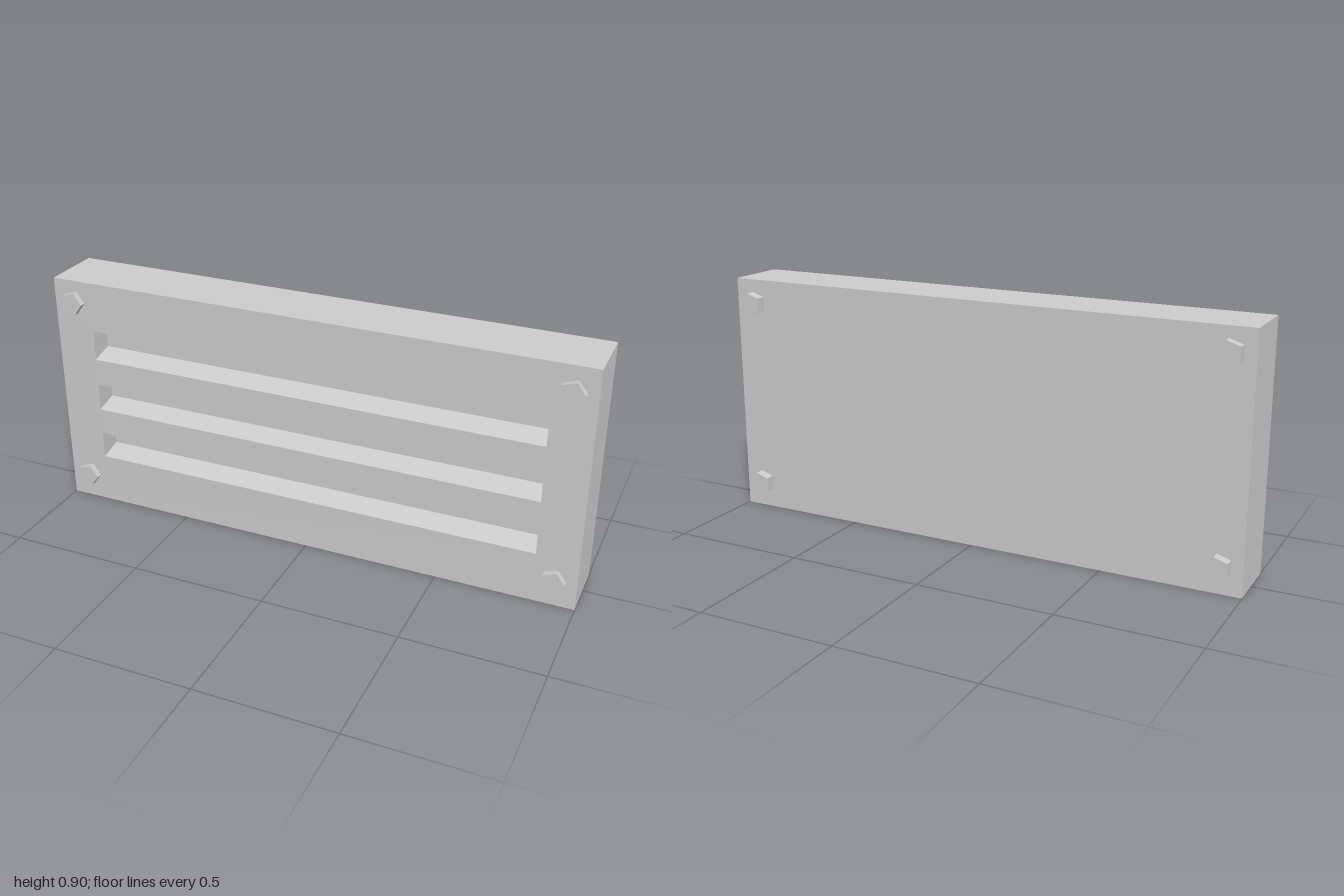
import * as THREE from 'three';

const W = 1, H = 0.9, FRONT = 0.122, BACK = -0.108;
const SLOT_X = 0.85, SLOT_Z = FRONT - 0.085;

// Flat-sided surface from four-cornered faces, corners anticlockwise from outside
function quads(list) {
  const pos = [];
  for (const [a, b, c, d] of list) pos.push(...a, ...b, ...c, ...a, ...c, ...d);
  const g = new THREE.BufferGeometry();
  g.setAttribute('position', new THREE.Float32BufferAttribute(pos, 3));
  g.computeVertexNormals();
  return g;
}

export function createModel() {
  const group = new THREE.Group();
  const grey = new THREE.MeshStandardMaterial({ color: 0xcccccc, flatShading: true });
  grey.name = 'light grey';
  const add = (name, geometry) => {
    const mesh = new THREE.Mesh(geometry, grey);
    mesh.name = name;
    group.add(mesh);
    return mesh;
  };

  // Slots: outer bottom and top, inner bottom and top
  const slots = [
    [0.599, 0.713, 0.62, 0.691],
    [0.392, 0.497, 0.413, 0.476],
    [0.189, 0.291, 0.21, 0.269],
  ];

  // Front face with three slot openings
  const face = new THREE.Shape();
  face.moveTo(-W, 0).lineTo(W, 0).lineTo(W, H).lineTo(-W, H).closePath();
  for (const [b, t] of slots) {
    const hole = new THREE.Path();
    hole.moveTo(-SLOT_X, b).lineTo(-SLOT_X, t).lineTo(SLOT_X, t).lineTo(SLOT_X, b).closePath();
    face.holes.push(hole);
  }
  add('frontFace', new THREE.ShapeGeometry(face).translate(0, 0, FRONT));

  // Sides, top, bottom and back of the panel
  const p = (x, y, z) => [x, y, z];
  add('panelBody', quads([
    [p(W, 0, BACK), p(-W, 0, BACK), p(-W, H, BACK), p(W, H, BACK)],
    [p(W, 0, FRONT), p(W, 0, BACK), p(W, H, BACK), p(W, H, FRONT)],
    [p(-W, 0, BACK), p(-W, 0, FRONT), p(-W, H, FRONT), p(-W, H, BACK)],
    [p(-W, H, FRONT), p(W, H, FRONT), p(W, H, BACK), p(-W, H, BACK)],
    [p(-W, 0, BACK), p(W, 0, BACK), p(W, 0, FRONT), p(-W, 0, FRONT)],
  ]));

  // Blind slots narrowing towards their back wall
  const S = SLOT_X, Z = SLOT_Z, F = FRONT;
  slots.forEach(([b, t, ib, it], i) => add('slot' + (i + 1), quads([
    [p(-S, ib, Z), p(S, ib, Z), p(S, it, Z), p(-S, it, Z)],
    [p(-S, b, F), p(S, b, F), p(S, ib, Z), p(-S, ib, Z)],
    [p(-S, it, Z), p(S, it, Z), p(S, t, F), p(-S, t, F)],
    [p(-S, b, F), p(-S, ib, Z), p(-S, it, Z), p(-S, t, F)],
    [p(S, ib, Z), p(S, b, F), p(S, t, F), p(S, it, Z)],
  ])));

  // Five-sided bolt heads on both faces
  const bolt = new THREE.CylinderGeometry(0.044, 0.044, 0.04, 5, 1, false, Math.PI / 2).rotateX(Math.PI / 2);
  for (const [x, y] of [[-0.921, 0.1], [0.918, 0.1], [-0.921, 0.818], [0.918, 0.81]]) {
    add('frontBolt', bolt).position.set(x, y, 0.125);
    add('backBolt', bolt).position.set(x, y, -0.123);
  }
  return group;
}
